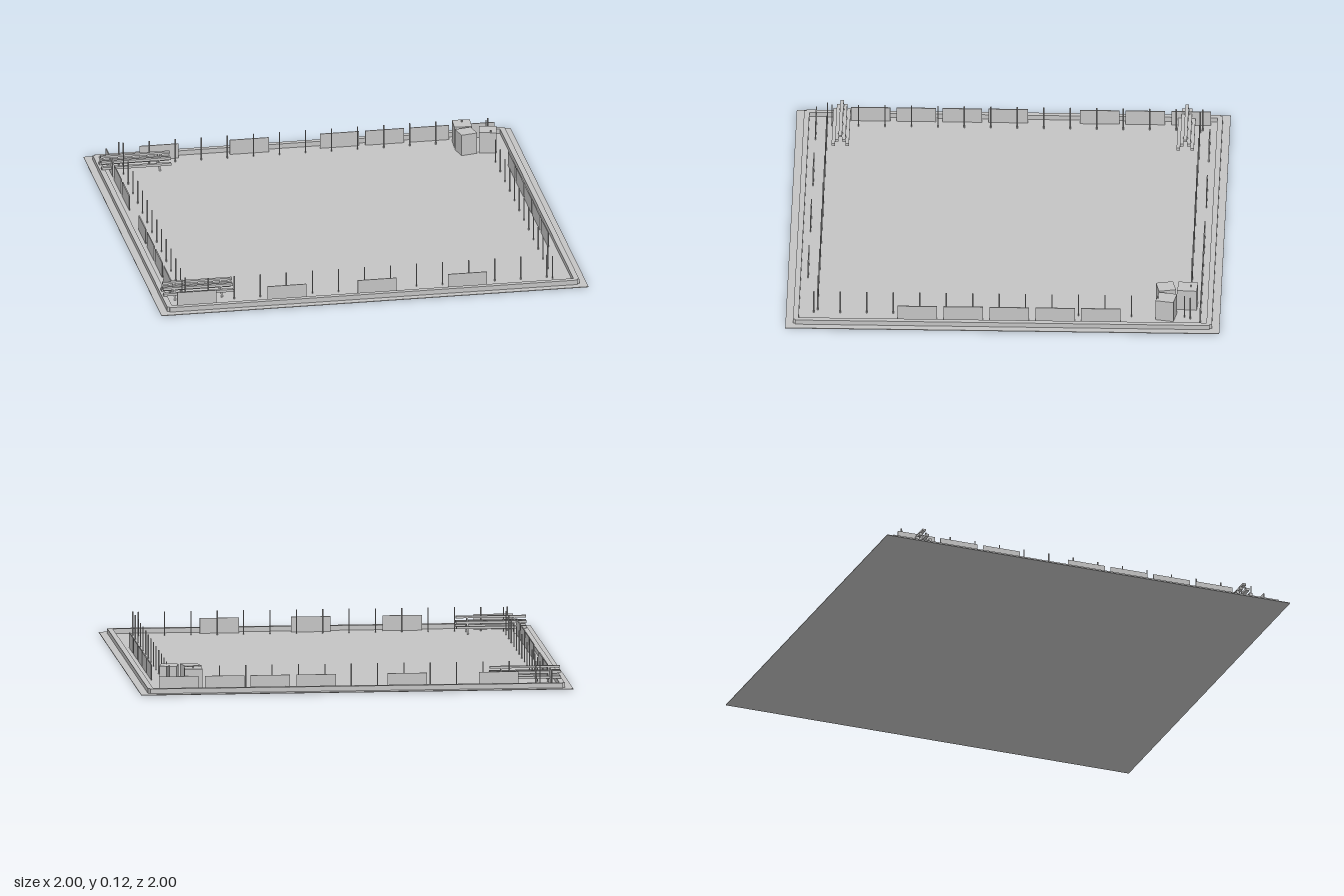
import * as THREE from 'three';

export function createModel() {
  const root = new THREE.Group();
  const grey = new THREE.MeshStandardMaterial({ color: 0xc4c4c4 });
  grey.name = 'plain grey';

  const add = (name, geometry, x, y, z, parent = root) => {
    const mesh = new THREE.Mesh(geometry, grey);
    mesh.name = name;
    mesh.position.set(x, y, z);
    parent.add(mesh);
    return mesh;
  };
  const box = (name, w, h, d, x, y, z, parent) =>
    add(name, new THREE.BoxGeometry(w, h, d), x, y, z, parent);

  // Flat ground slab
  box('ground', 2, 0.003, 2, 0, 0.0015, 0);

  // Low kerb around the yard, with notched corners
  for (const s of [-1, 1]) {
    box('kerb', 1.91, 0.025, 0.025, 0, 0.0125, s * 0.9525);
    box('kerb', 0.025, 0.025, 1.91, s * 0.9525, 0.0125, 0);
  }

  // Thin barrier panels standing inside the kerb
  const panelH = 0.074;
  const panels = {
    back: [-0.663, -0.24, 0.182, 0.394, 0.605, 0.818],
    front: [-0.818, -0.396, 0.027, 0.45],
    right: [-0.82, -0.609, -0.398, 0.024, 0.235, 0.447, 0.658],
    left: [-0.452, -0.241, -0.03, 0.182, 0.393],
  };
  for (const c of panels.back) box('backPanel', 0.182, panelH, 0.005, c, panelH / 2, -0.91);
  for (const c of panels.front) box('frontPanel', 0.182, panelH, 0.005, c, panelH / 2, 0.907);
  for (const c of panels.right) box('rightPanel', 0.005, panelH, 0.182, -0.91, panelH / 2, c);
  for (const c of panels.left) box('leftPanel', 0.005, panelH, 0.182, 0.907, panelH / 2, c);

  // Slim fence posts, fifteen along each side
  const postGeometry = new THREE.CylinderGeometry(0.003, 0.003, 0.115, 6);
  for (let i = 0; i < 15; i++) {
    const t = i * 0.122;
    add('backPost', postGeometry, -0.839 + t, 0.0575, -0.863);
    add('frontPost', postGeometry, -0.877 + t, 0.0575, 0.855);
    add('rightPost', postGeometry, -0.858, 0.0575, 0.834 - t);
    add('leftPost', postGeometry, 0.855, 0.0575, 0.872 - t);
  }

  // Stepped plank racks on A-shaped legs
  for (const z of [-0.8, 0.79]) {
    const rack = new THREE.Group();
    rack.name = 'plankRack';
    rack.position.set(-0.795, 0, z);
    root.add(rack);
    box('topPlank', 0.326, 0.01, 0.016, 0, 0.079, 0, rack);
    for (const s of [-1, 1]) {
      box('middlePlank', 0.326, 0.012, 0.016, 0, 0.056, s * 0.016, rack);
      box('lowerPlank', 0.326, 0.012, 0.016, 0, 0.034, s * 0.032, rack);
      for (const x of [-0.11, 0.11]) {
        const leg = box('rackLeg', 0.008, 0.084, 0.006, x, 0.041, s * 0.018, rack);
        leg.rotation.x = -s * 0.44;
      }
    }
  }

  // Cluster of crates in the back corner
  const crates = [
    [0.745, -0.848, 0.082, 0.09, -0.06],
    [0.746, -0.748, 0.078, 0.08, 0.21],
    [0.848, -0.752, 0.08, 0.084, -0.19],
  ];
  for (const [x, z, w, d, turn] of crates)
    box('crate', w, 0.104, d, x, 0.052, z).rotation.y = turn;

  return root;
}
